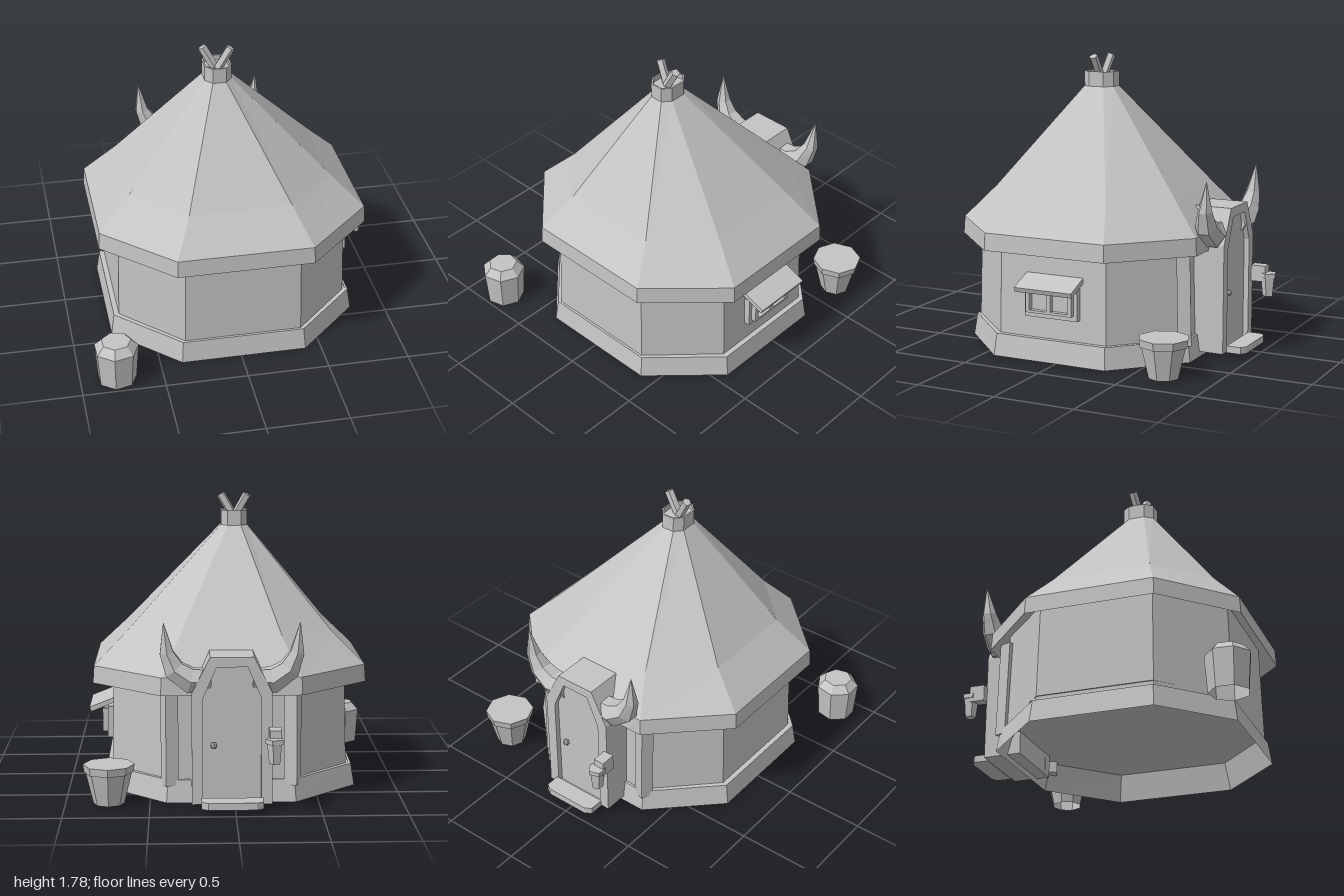
import * as THREE from 'three';

const stone = new THREE.MeshStandardMaterial({ color: 0xc4c4c4, flatShading: true });
stone.name = 'plainGrey';

// Skin a stack of equal-length rings and close both ends
function loft(rings) {
  const pos = [];
  const tri = (...p) => p.forEach(v => pos.push(v.x, v.y, v.z));
  const mid = r => r.reduce((a, v) => a.add(v), new THREE.Vector3()).divideScalar(r.length);
  const n = rings[0].length, last = rings[rings.length - 1];
  const c0 = mid(rings[0]), c1 = mid(last);
  for (let i = 0; i < n; i++) {
    const j = (i + 1) % n;
    for (let k = 0; k < rings.length - 1; k++) {
      const a = rings[k], b = rings[k + 1];
      tri(a[i], b[i], a[j]);
      tri(a[j], b[i], b[j]);
    }
    tri(c0, rings[0][i], rings[0][j]);
    tri(c1, last[j], last[i]);
  }
  const g = new THREE.BufferGeometry();
  g.setAttribute('position', new THREE.Float32BufferAttribute(pos, 3));
  g.computeVertexNormals();
  return g;
}

// Eight-sided ring: centre, half sizes, height
const octagon = (cx, cz, hx, hz, y) =>
  [[1, -0.5], [1, 0.5], [0.5, 1], [-0.5, 1], [-1, 0.5], [-1, -0.5], [-0.5, -1], [0.5, -1]]
    .map(([u, v]) => new THREE.Vector3(cx + u * hx, y, cz + v * hz));

const points = list => list.map(([x, y]) => new THREE.Vector2(x, y));

export function createModel() {
  const model = new THREE.Group();
  const add = (name, geo, parent = model) => {
    const m = new THREE.Mesh(geo, stone);
    m.name = name;
    parent.add(m);
    return m;
  };
  const group = name => {
    const g = new THREE.Group();
    g.name = name;
    model.add(g);
    return g;
  };
  // Box from min and max corners
  const box = (name, x0, x1, y0, y1, z0, z1, parent) => {
    const m = add(name, new THREE.BoxGeometry(x1 - x0, y1 - y0, z1 - z0), parent);
    m.position.set((x0 + x1) / 2, (y0 + y1) / 2, (z0 + z1) / 2);
    return m;
  };
  // Stick between two points
  const stick = (name, a, b, r, sides) => {
    const p = new THREE.Vector3(...a), q = new THREE.Vector3(...b);
    const d = q.clone().sub(p);
    const m = add(name, new THREE.CylinderGeometry(r, r, d.length(), sides));
    m.position.copy(p).add(q).multiplyScalar(0.5);
    m.quaternion.setFromUnitVectors(new THREE.Vector3(0, 1, 0), d.normalize());
  };
  const cx = 0.018, cz = 0.048;

  // Hut body: floor raised inside the plinth, then the walls
  add('plinthAndWalls', loft([
    octagon(cx, cz, 0.725, 0.705, 0.17), octagon(cx, cz, 0.77, 0.75, 0),
    octagon(cx, cz, 0.75, 0.73, 0.135), octagon(cx, cz, 0.718, 0.715, 0.135),
    octagon(cx, cz, 0.702, 0.698, 0.78)]));
  // Roof with hollow eaves
  add('roof', loft([
    octagon(cx, cz, 0.69, 0.685, 0.765),
    octagon(cx, cz, 0.829, 0.797, 0.657), octagon(cx, cz, 0.822, 0.79, 0.763),
    octagon(cx, cz, 0.622, 0.613, 0.96), octagon(-0.022, 0.1, 0.08, 0.098, 1.58)]));

  // Smoke vent with a sunken top and two poles
  add('roofCap', loft([
    octagon(-0.022, 0.1, 0.082, 0.1, 1.575), octagon(-0.022, 0.1, 0.082, 0.1, 1.67),
    octagon(-0.022, 0.1, 0.072, 0.09, 1.67), octagon(-0.022, 0.1, 0.072, 0.09, 1.64)]));
  stick('roofPole', [-0.025, 1.62, 0.1], [-0.105, 1.765, 0.078], 0.028, 5);
  stick('roofPole', [-0.025, 1.62, 0.11], [0.06, 1.765, 0.118], 0.028, 5);

  // Door porch: arched frame, recessed door, knob, step
  const door = group('doorway');
  const arch = (w, t, shoulder, top, base, Type) => new Type(points(
    [[w, base], [w, shoulder], [t, top], [-t, top], [-w, shoulder], [-w, base]]));
  const frame = arch(0.235, 0.128, 0.69, 0.903, 0.03, THREE.Shape);
  frame.holes.push(arch(0.17, 0.09, 0.66, 0.845, 0.035, THREE.Path));
  const extrude = (s, depth) => new THREE.ExtrudeGeometry(s, { depth, bevelEnabled: false });
  add('doorFrame', extrude(frame, 0.235), door).position.set(cx, 0, -0.848);
  add('door', extrude(arch(0.175, 0.095, 0.662, 0.85, 0.033, THREE.Shape), 0.2), door)
    .position.set(cx, 0, -0.815);
  add('doorKnob', new THREE.IcosahedronGeometry(0.022, 0), door).position.set(0.125, 0.38, -0.83);
  const step = new THREE.Shape(points(
    [[-0.18, 0.85], [0.18, 0.85], [0.18, 0.94], [0.14, 0.965], [-0.14, 0.965], [-0.18, 0.94]]));
  const stepMesh = add('doorStep', extrude(step, 0.042), door);
  stepMesh.rotation.x = -Math.PI / 2;
  stepMesh.position.set(cx, 0.028, 0);

  // Horns beside the arch and posts on the wall corners
  const path = [[0.12, 0.76, -0.77, 0.07], [0.24, 0.755, -0.77, 0.083], [0.335, 0.82, -0.775, 0.07],
    [0.378, 0.92, -0.785, 0.046], [0.395, 1.097, -0.8, 0.002]];
  for (const s of [-1, 1]) {
    const rings = path.map(([x, y, z, r], k) => {
      const a = path[Math.max(k - 1, 0)], b = path[Math.min(k + 1, path.length - 1)];
      const t = new THREE.Vector2(s * (b[0] - a[0]), b[1] - a[1]).normalize();
      return Array.from({ length: 6 }, (_, i) => {
        const c = Math.cos(i * Math.PI / 3 + 0.5) * r, d = Math.sin(i * Math.PI / 3 + 0.5) * r;
        return new THREE.Vector3(cx + s * x + t.y * c, y - t.x * c, z + d);
      });
    });
    add('horn', loft(rings), door);
    const post = box('wallPost', -0.04, 0.04, 0.1, 0.69, -0.69, -0.61, door);
    post.position.x = cx + s * 0.365;
    post.rotation.set(0.025, s * Math.PI / 8, 0);
  }

  // Lantern on the door frame
  const lantern = group('lantern');
  box('lanternBracket', -0.265, -0.195, 0.39, 0.49, -0.94, -0.845, lantern);
  const cap = add('lanternCap', new THREE.CylinderGeometry(0.055, 0.055, 0.028, 5), lantern);
  cap.position.set(-0.225, 0.431, -0.95);
  const cup = add('lanternCup', new THREE.CylinderGeometry(0.047, 0.034, 0.12, 5), lantern);
  cup.position.set(-0.225, 0.36, -0.95);
  cap.rotation.y = cup.rotation.y = 0.3;

  // Side window with barred panes and sloping awning
  const win = group('sideWindow');
  box('windowBoard', 0.7, 0.77, 0.268, 0.465, -0.135, 0.215, win);
  for (const z of [-0.1, 0.04, 0.18])
    box('windowBar', 0.765, 0.803, 0.3, 0.445, z - 0.013, z + 0.013, win);
  box('windowSill', 0.765, 0.803, 0.3, 0.315, -0.113, 0.193, win);
  const awning = add('windowAwning', new THREE.BoxGeometry(0.18, 0.03, 0.38), win);
  awning.position.set(0.793, 0.483, 0.035);
  awning.rotation.z = -0.38;

  // Free-standing tubs, hollow underneath
  const barrel = add('barrel', new THREE.LatheGeometry(points([
    [0, 0.2], [0.125, 0.2], [0.119, 0], [0.136, 0.222], [0.09, 0.27], [0, 0.27]]), 7));
  barrel.position.set(-0.777, 0, 0.867);
  barrel.rotation.y = -0.19;
  const tub = add('tub', new THREE.LatheGeometry(points([
    [0, 0.185], [0.132, 0.185], [0.092, 0], [0.138, 0.19], [0.146, 0.19], [0.153, 0.237], [0, 0.237]]), 8));
  tub.position.set(0.743, 0, -0.685);
  return model;
}
